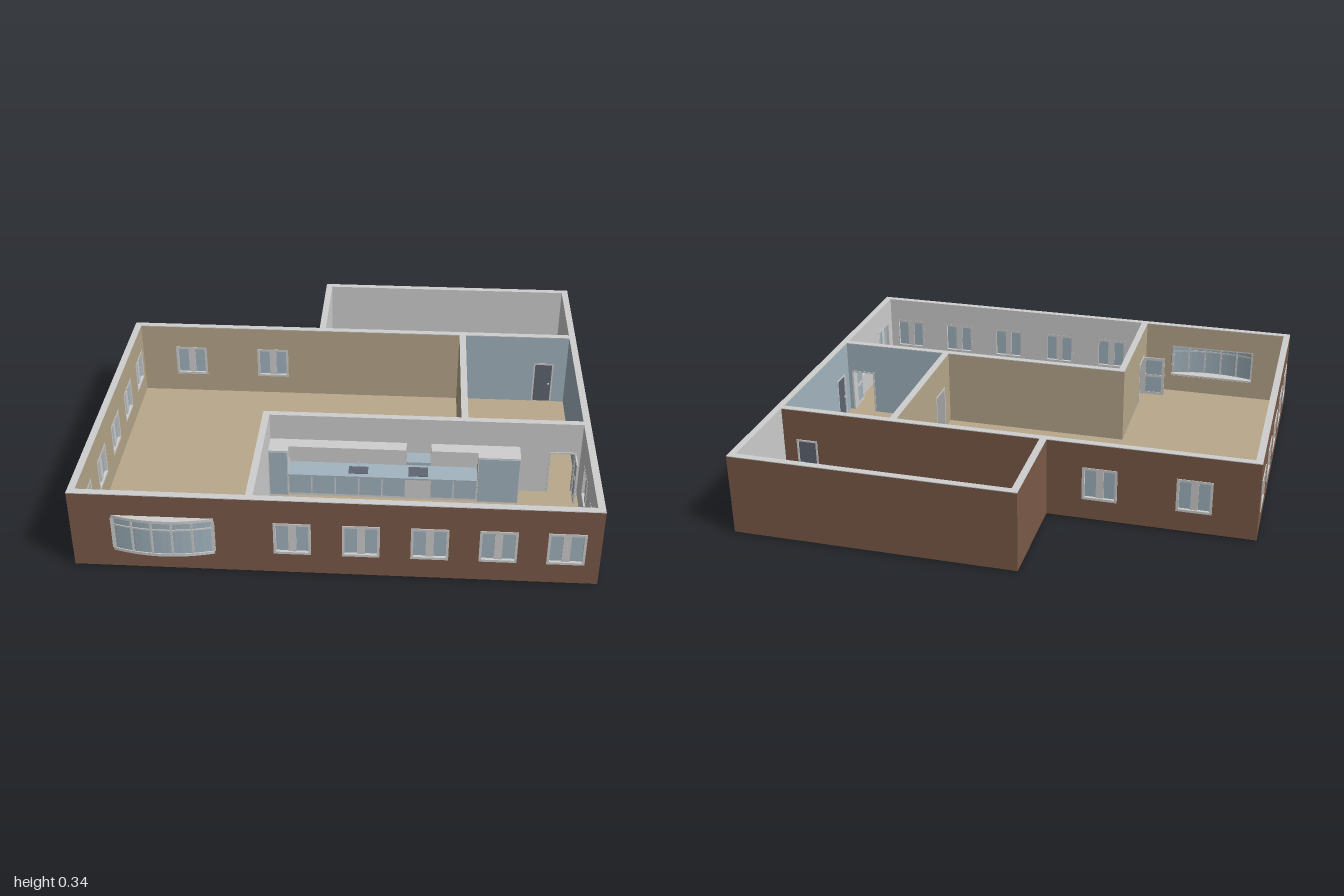
import * as THREE from 'three';

const mat = (name, color, side = THREE.FrontSide) => {
  const m = new THREE.MeshStandardMaterial({ color, side });
  m.name = name;
  return m;
};

export function createModel() {
  const brown = mat('brown render', 0x7b5b49);
  const tan = mat('tan', 0xb8a88c);
  const grey = mat('light grey', 0xcfcfcf);
  const blue = mat('blue grey', 0xa3b5c0);
  const slate = mat('slate door', 0x5f6673);
  const black = mat('black underside', 0x1c1c1c);
  const model = new THREE.Group();
  model.name = 'house';

  const BASE = 0.005, TOP = 0.337, T = 0.025;

  function box(parent, name, m, x0, x1, y0, y1, z0, z1) {
    const mesh = new THREE.Mesh(new THREE.BoxGeometry(x1 - x0, y1 - y0, z1 - z0), m);
    mesh.position.set((x0 + x1) / 2, (y0 + y1) / 2, (z0 + z1) / 2);
    mesh.name = name;
    parent.add(mesh);
    return mesh;
  }

  // Turns an object drawn along local x so that it runs along z when axis is 'z'
  function place(obj, axis, pos) {
    if (axis === 'x') obj.position.z = pos;
    else { obj.rotation.y = -Math.PI / 2; obj.position.x = pos; }
    model.add(obj);
    return obj;
  }

  // Upright wall sheet from a to b; openings are {a, b, y0, y1}, doors reach the floor
  function sheet(name, m, axis, a, b, p0, p1, openings = [], top = TOP) {
    const inside = openings.filter(o => o.a > a && o.b < b).sort((p, q) => p.a - q.a);
    const s = new THREE.Shape();
    s.moveTo(a, BASE);
    for (const o of inside.filter(o => o.door)) {
      s.lineTo(o.a, BASE); s.lineTo(o.a, o.y1); s.lineTo(o.b, o.y1); s.lineTo(o.b, BASE);
    }
    s.lineTo(b, BASE); s.lineTo(b, top); s.lineTo(a, top); s.closePath();
    for (const o of inside.filter(o => !o.door)) {
      const h = new THREE.Path();
      h.moveTo(o.a, o.y0); h.lineTo(o.a, o.y1); h.lineTo(o.b, o.y1); h.lineTo(o.b, o.y0); h.closePath();
      s.holes.push(h);
    }
    const g = new THREE.ExtrudeGeometry(s, { depth: p1 - p0, bevelEnabled: false });
    g.translate(0, 0, (p0 - p1) / 2);
    const mesh = new THREE.Mesh(g, m);
    mesh.name = name;
    place(mesh, axis, (p0 + p1) / 2);
  }

  // Two-pane window
  function windowUnit(axis, pos, o) {
    const g = new THREE.Group(), d = 0.016, r = 0.01, c = (o.a + o.b) / 2;
    g.name = 'window';
    box(g, 'glass', blue, o.a, o.b, o.y0, o.y1, -0.004, 0.004);
    for (const y of [o.y0, o.y1 - r]) box(g, 'frameRail', grey, o.a, o.b, y, y + r, -d, d);
    for (const x of [o.a, o.b - r]) box(g, 'frameStile', grey, x, x + r, o.y0 + r, o.y1 - r, -d, d);
    box(g, 'centreMullion', grey, c - 0.015, c + 0.015, o.y0 + r, o.y1 - r, -0.01, 0.01);
    place(g, axis, pos);
  }

  // Door surround, with a closed solid leaf if wanted
  function doorUnit(axis, pos, o, closed) {
    const g = new THREE.Group(), d = 0.017, r = 0.007;
    g.name = closed ? 'outerDoor' : 'doorFrame';
    for (const x of [o.a, o.b - r]) box(g, 'doorJamb', grey, x, x + r, BASE, o.y1, -d, d);
    box(g, 'doorHead', grey, o.a + r, o.b - r, o.y1 - r, o.y1, -d, d);
    if (closed) {
      box(g, 'doorLeaf', slate, o.a + r, o.b - r, BASE, o.y1 - r, -0.012, 0.012);
      box(g, 'doorHandle', grey, o.b - 0.02, o.b - 0.014, 0.095, 0.101, -0.019, 0.019);
    }
    place(g, axis, pos);
  }

  // Glazed leaf standing open
  function openLeaf(axis, pos, a, b) {
    const g = new THREE.Group(), d = 0.003, r = 0.013;
    g.name = 'openDoorLeaf';
    box(g, 'leafGlass', blue, a, b, 0.01, 0.198, -0.001, 0.001);
    for (const x of [a, b - r]) box(g, 'leafStile', grey, x, x + r, 0.01, 0.198, -d, d);
    for (const y of [0.01, 0.1, 0.185]) box(g, 'leafRail', grey, a + r, b - r, y, y + r, -d, d);
    place(g, axis, pos);
  }

  const win = (c, w = 0.142) => ({ a: c - w / 2, b: c + w / 2, y0: 0.093, y1: 0.235 });
  const door = (a, b) => ({ a, b, y0: BASE, y1: 0.205, door: true });

  // Floor slab
  box(model, 'underside', black, -0.992, 0.985, 0, 0.003, -0.455, 0.855);
  box(model, 'floor', tan, -0.99, 0.98, 0.003, 0.007, -0.45, 0.85);

  // Openings
  const bow = { a: -0.84, b: -0.455, y0: 0.085, y1: 0.24 };
  const frontWins = [-0.16, 0.098, 0.355, 0.61, 0.862].map(c => win(c));
  const leftWins = [-0.325, -0.07, 0.185, 0.44, 0.69].map(c => win(c));
  const backWins = [-0.75, -0.375].map(c => win(c));
  const rightWins = [0.477, 0.72].map(c => win(c));
  const sideDoor = door(0.115, 0.205), yardDoor = door(0.815, 0.905);
  const hallDoor = door(0.06, 0.18), kitchenDoor = door(0.645, 0.76), utilityDoor = door(0.835, 0.945);
  const front = [bow, ...frontWins], back = [...backWins, yardDoor], right = [...rightWins, sideDoor];

  // Outer walls
  sheet('frontWall', brown, 'x', -1, 0.99, 0.86 - T, 0.86, front);
  sheet('backWall', brown, 'x', -1, 0.99, -0.46, -0.46 + T, back);
  sheet('leftWall', brown, 'z', -0.46 + T, 0.86 - T, -1, -1 + T, leftWins);
  sheet('rightWall', brown, 'z', -0.46 + T, 0.86 - T, 0.99 - T, 0.99, right);

  // Yard walls with pale inner faces
  sheet('yardBackWall', brown, 'x', -0.16, 0.99, -0.9, -0.9 + T);
  sheet('yardLeftWall', brown, 'z', -0.9 + T, -0.46, -0.16, -0.16 + T);
  sheet('yardRightWall', brown, 'z', -0.9 + T, -0.46, 0.99 - T, 0.99);
  const L = 0.003;
  sheet('yardBackLining', grey, 'x', -0.135, 0.965, -0.875, -0.875 + L);
  sheet('yardLeftLining', grey, 'z', -0.875, -0.46, -0.135, -0.135 + L);
  sheet('yardRightLining', grey, 'z', -0.875, -0.46, 0.965 - L, 0.965);

  // Partitions
  sheet('kitchenBackWall', grey, 'x', -0.305, 0.965, 0.255, 0.28, [utilityDoor]);
  sheet('kitchenSideWall', grey, 'z', 0.255, 0.835, -0.33, -0.305, [kitchenDoor]);
  sheet('hallWall', blue, 'z', -0.435, 0.255, 0.475, 0.5, [hallDoor]);

  // Room linings: tan living room, blue utility room, grey kitchen
  sheet('livingFrontLining', tan, 'x', -0.975, -0.33, 0.835 - L, 0.835, front);
  sheet('livingBackLining', tan, 'x', -0.975, 0.475, -0.435, -0.435 + L, back);
  sheet('livingLeftLining', tan, 'z', -0.435, 0.835, -0.975, -0.975 + L, leftWins);
  sheet('livingHallLining', tan, 'z', -0.435, 0.255, 0.475 - L, 0.475, [hallDoor]);
  sheet('livingInnerLining', tan, 'x', -0.333, 0.475, 0.255 - L, 0.255);
  sheet('livingSideLining', tan, 'z', 0.255, 0.835, -0.33 - L, -0.33, [kitchenDoor]);
  sheet('utilityBackLining', blue, 'x', 0.5, 0.965, -0.435, -0.435 + L, back);
  sheet('utilityRightLining', blue, 'z', -0.435, 0.255, 0.965 - L, 0.965, right);
  sheet('utilityFrontLining', blue, 'x', 0.5, 0.965, 0.255 - L, 0.255, [utilityDoor]);
  sheet('kitchenFrontLining', grey, 'x', -0.305, 0.965, 0.835 - L, 0.835, front);
  sheet('kitchenRightLining', grey, 'z', 0.28, 0.835, 0.965 - L, 0.965, right);

  // Pale wall tops: x0, x1, z0, z1
  for (const [x0, x1, z0, z1] of [
    [-1, 0.99, 0.832, 0.86], [-1, 0.99, -0.46, -0.432], [-1, -0.972, -0.432, 0.832], [0.962, 0.99, -0.432, 0.832],
    [-0.16, 0.99, -0.9, -0.872], [-0.16, -0.132, -0.872, -0.46], [0.962, 0.99, -0.872, -0.46],
    [-0.333, 0.962, 0.252, 0.28], [-0.333, -0.305, 0.28, 0.832], [0.472, 0.5, -0.432, 0.252],
  ]) box(model, 'wallTop', grey, x0, x1, TOP, 0.34, z0, z1);

  // Windows and doors
  frontWins.forEach(o => windowUnit('x', 0.847, o));
  backWins.forEach(o => windowUnit('x', -0.447, o));
  leftWins.forEach(o => windowUnit('z', -0.987, o));
  rightWins.forEach(o => windowUnit('z', 0.977, o));
  doorUnit('z', 0.977, sideDoor, true);
  doorUnit('x', -0.447, yardDoor, true);
  doorUnit('z', 0.487, hallDoor);
  doorUnit('z', -0.319, kitchenDoor);
  doorUnit('x', 0.267, utilityDoor);
  openLeaf('x', 0.178, 0.5, 0.59);
  openLeaf('x', 0.757, -0.435, -0.333);
  openLeaf('z', 0.942, 0.283, 0.365);

  // Bow window: curved sill, head, transom and glass on one shallow arc
  const bowGroup = new THREE.Group();
  bowGroup.name = 'bowWindow';
  model.add(bowGroup);
  const bowX = u => -0.6475 + 0.2 * u, bowZ = u => 0.858 + 0.032 * (1 - u * u);
  function bowSlab(name, m, y0, y1, inset, thick) {
    const s = new THREE.Shape(), N = 16;
    for (let i = 0; i <= N; i++) {
      const u = -1 + 2 * i / N;
      s[i ? 'lineTo' : 'moveTo'](bowX(u), -(bowZ(u) - inset));
    }
    for (let i = N; i >= 0; i--) {
      const u = -1 + 2 * i / N;
      s.lineTo(bowX(u), thick ? -(bowZ(u) - inset - thick) : -0.836);
    }
    const g = new THREE.ExtrudeGeometry(s, { depth: y1 - y0, bevelEnabled: false });
    g.rotateX(-Math.PI / 2);
    const mesh = new THREE.Mesh(g, m);
    mesh.position.y = y0;
    mesh.name = name;
    bowGroup.add(mesh);
  }
  bowSlab('bowSill', grey, 0.08, 0.092, 0, 0);
  bowSlab('bowHead', grey, 0.233, 0.245, 0, 0);
  bowSlab('bowTransom', grey, 0.199, 0.205, 0.001, 0.008);
  bowSlab('bowGlass', blue, 0.092, 0.233, 0.004, 0.003);
  for (let i = 0; i <= 5; i++) {
    const u = -0.95 + 0.38 * i, w = i % 5 ? 0.004 : 0.007;
    box(bowGroup, 'bowMullion', grey, bowX(u) - w, bowX(u) + w, 0.092, 0.233, bowZ(u) - 0.011, bowZ(u));
  }

  // Kitchen run along the partition
  const kitchen = new THREE.Group();
  kitchen.name = 'kitchen';
  model.add(kitchen);
  const K = 0.28;
  for (const [x0, x1] of [[-0.305, -0.225], [0.545, 0.715]]) {
    box(kitchen, 'tallCabinet', grey, x0, x1, 0.007, 0.225, K, 0.37);
    box(kitchen, 'tallCabinetFront', blue, x0 + 0.004, x1 - 0.004, 0.012, 0.22, 0.37, 0.374);
  }
  for (const [x0, x1] of [[-0.225, 0.255], [0.355, 0.545]]) {
    box(kitchen, 'upperCabinet', grey, x0, x1, 0.17, 0.225, K, 0.335);
    const n = Math.round((x1 - x0) / 0.095), w = (x1 - x0) / n;
    for (let i = 0; i < n; i++)
      box(kitchen, 'baseFront', blue, x0 + i * w + 0.003, x0 + (i + 1) * w - 0.003, 0.02, 0.104, 0.365, 0.369);
  }
  box(kitchen, 'baseCabinets', grey, -0.225, 0.545, 0.007, 0.108, K, 0.365);
  box(kitchen, 'worktop', blue, -0.225, 0.545, 0.108, 0.115, K, 0.375);
  box(kitchen, 'cookerHood', blue, 0.257, 0.353, 0.165, 0.178, K, 0.35);
  box(kitchen, 'hob', slate, 0.265, 0.345, 0.115, 0.117, 0.295, 0.36);
  box(kitchen, 'sink', slate, 0.02, 0.1, 0.115, 0.117, 0.305, 0.355);
  const tap = new THREE.Mesh(new THREE.TorusGeometry(0.012, 0.002, 6, 12, Math.PI), grey);
  tap.name = 'tap';
  tap.rotation.y = Math.PI / 2;
  tap.position.set(0.06, 0.13, 0.31);
  kitchen.add(tap);
  box(kitchen, 'tapStem', grey, 0.058, 0.062, 0.115, 0.13, 0.296, 0.3);

  return model;
}
